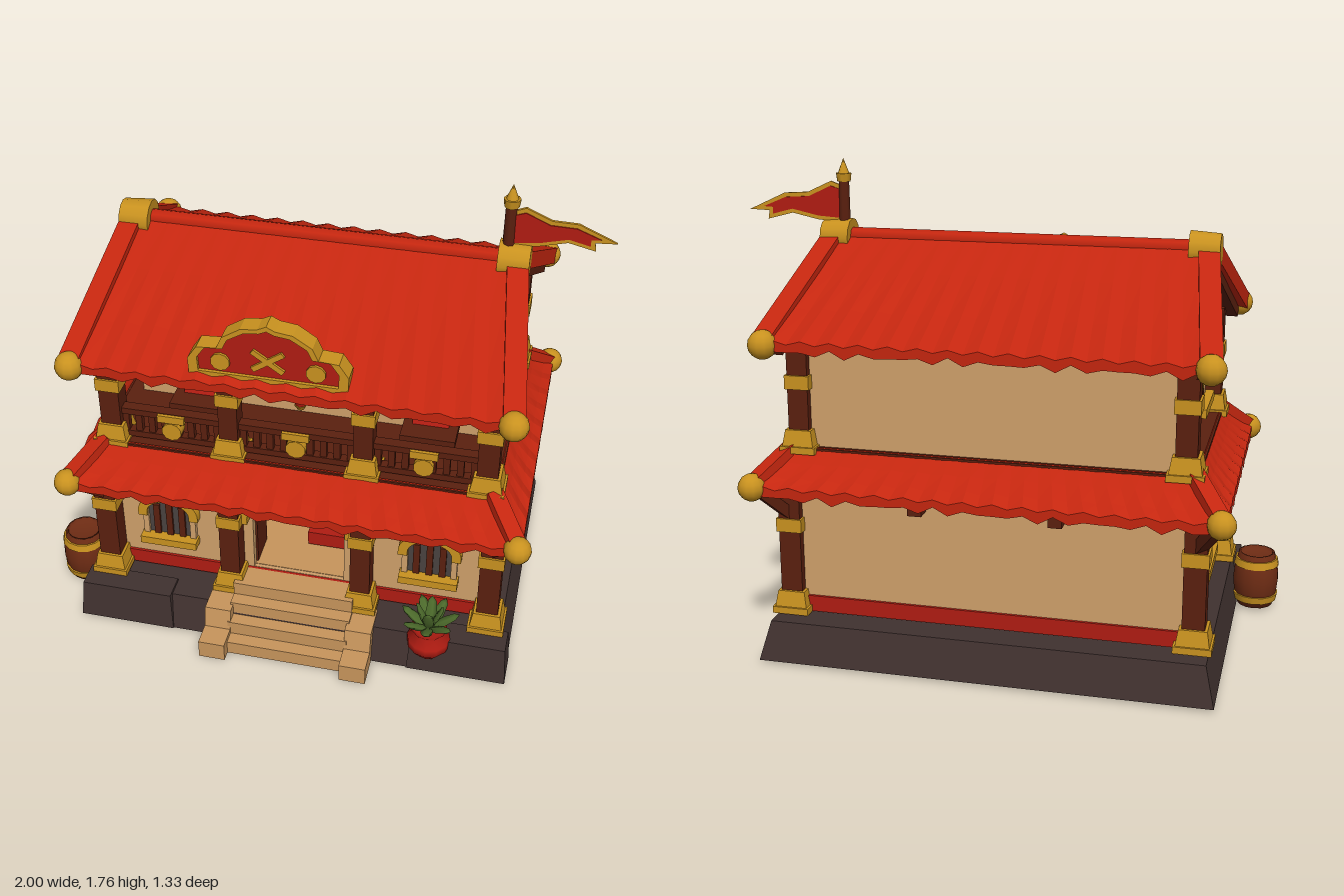
import * as THREE from 'three';

const make = (name, color, side = THREE.FrontSide) => new THREE.MeshStandardMaterial({ name, color, side });

export function createModel() {
  const M = {
    roof: make('roof red', 0xc4260f, THREE.DoubleSide), paint: make('painted red', 0xb01c12),
    wood: make('dark wood', 0x5a200f), wall: make('plaster tan', 0xcfa06a),
    step: make('step stone', 0xc8955c), base: make('foundation stone', 0x40312f),
    gold: make('gold', 0xc9921f), leaf: make('leaf green', 0x4c6a2b),
    glass: make('window grey', 0x4a4340), barrel: make('barrel wood', 0x6e2c14),
  };
  const root = new THREE.Group();
  root.name = 'tavern';
  const house = new THREE.Group();
  house.name = 'building';
  house.position.set(-0.02, 0, -0.04);
  root.add(house);

  // ---- helpers ----
  const add = (name, mat, geo, x = 0, y = 0, z = 0, parent = house) => {
    const m = new THREE.Mesh(geo, mat);
    m.name = name;
    m.position.set(x, y, z);
    parent.add(m);
    return m;
  };
  const box = (name, mat, w, h, d, x, y, z, parent) => add(name, mat, new THREE.BoxGeometry(w, h, d), x, y, z, parent);
  const frustum = (w, d, wt, dt, h) => {
    const g = new THREE.BoxGeometry(w, h, d), p = g.attributes.position;
    for (let i = 0; i < p.count; i++) if (p.getY(i) > 0) p.setXYZ(i, p.getX(i) * wt / w, p.getY(i), p.getZ(i) * dt / d);
    g.computeVertexNormals();
    return g;
  };
  const beam = (name, mat, a, b, w, h) => {
    const A = new THREE.Vector3(...a), B = new THREE.Vector3(...b);
    const m = new THREE.Mesh(new THREE.BoxGeometry(w, h, A.distanceTo(B)), mat);
    m.name = name;
    m.position.copy(A).add(B).multiplyScalar(0.5);
    m.lookAt(B);
    house.add(m);
  };
  const plate = (name, mat, shape, depth, x, y, z, parent) => {
    const g = new THREE.ExtrudeGeometry(shape, { depth, bevelEnabled: false, curveSegments: 10 });
    g.translate(0, 0, -depth / 2);
    return add(name, mat, g, x, y, z, parent);
  };
  const polygon = (pts) => new THREE.Shape(pts.map(([x, y]) => new THREE.Vector2(x, y)));
  const arch = (r, y0, ys, rise, S = THREE.Shape) => {
    const s = new S();
    s.moveTo(-r, y0); s.lineTo(-r, ys);
    s.absellipse(0, ys, r, rise, Math.PI, 0, true);
    s.lineTo(r, y0); s.lineTo(-r, y0);
    return s;
  };
  const archBand = (ri, ro, y0, ys, rise) => {
    const s = new THREE.Shape();
    s.moveTo(-ro, y0); s.lineTo(-ro, ys);
    s.absellipse(0, ys, ro, rise + ro - ri, Math.PI, 0, true);
    s.lineTo(ro, y0); s.lineTo(ri, y0); s.lineTo(ri, ys);
    s.absellipse(0, ys, ri, rise, 0, Math.PI, false);
    s.lineTo(-ri, y0);
    return s;
  };
  // Rippled roof surface with a scalloped, turned-down eave
  const roofSlope = (name, tl, tr, bl, br, cols, sag) => {
    const [a, b, c, d] = [tl, tr, bl, br].map((v) => new THREE.Vector3(...v));
    const pos = [], idx = [], rows = [0, 0.35, 0.7, 1, 1];
    rows.forEach((s, r) => {
      for (let i = 0; i <= cols; i++) {
        const t = i / cols, p = a.clone().lerp(b, t).lerp(c.clone().lerp(d, t), s);
        p.y += (i % 2 ? 0.014 : 0) * s - sag * Math.sin(Math.PI * s) - (r === 4 ? 0.035 + 0.008 * Math.sin(i * 2.3) : 0);
        pos.push(p.x, p.y, p.z);
        const k = r * (cols + 1) + i, n = k + cols + 1;
        if (i < cols && r < 4) idx.push(k, n, k + 1, k + 1, n, n + 1);
      }
    });
    let g = new THREE.BufferGeometry();
    g.setAttribute('position', new THREE.Float32BufferAttribute(pos, 3));
    g.setIndex(idx);
    g = g.toNonIndexed();
    g.computeVertexNormals();
    add(name, M.roof, g);
  };
  const post = (x, z, y0, y1, collarY, w) => {
    box('post', M.wood, w, y1 - y0, w, x, (y0 + y1) / 2, z);
    add('postBase', M.gold, frustum(w + 0.045, w + 0.045, w + 0.02, w + 0.02, 0.075), x, y0 + 0.045, z);
    box('postBaseFoot', M.gold, w + 0.055, 0.025, w + 0.055, x, y0 + 0.012, z);
    box('postCollar', M.gold, w + 0.015, 0.05, w + 0.015, x, collarY, z);
  };
  const archWindow = (x, y, z, turn, r, h, sillW) => {
    const g = new THREE.Group();
    g.name = 'window';
    g.position.set(x, y, z);
    g.rotation.y = turn;
    house.add(g);
    const rise = r * 0.7, ys = h - rise;
    plate('pane', M.glass, arch(r, 0, ys, rise), 0.008, 0, 0, 0.004, g);
    plate('windowArch', M.gold, archBand(r, r + 0.035, ys - 0.02, ys, rise), 0.04, 0, 0, 0.012, g);
    box('sill', M.gold, sillW, 0.032, 0.06, 0, -0.012, 0.02, g);
    for (const s of [-1, 0, 1]) box('windowBar', M.wood, r * 0.3, h - (s ? 0.03 : 0.005), 0.012, s * r * 0.6, h / 2 - (s ? 0.015 : 0), 0.012, g);
    for (const s of [-1, 1]) box('jamb', M.wall, 0.022, ys, 0.02, s * (r + 0.01), ys / 2, 0.01, g);
  };

  // ---- foundation and stairs ----
  add('foundation', M.base, frustum(1.64, 1.18, 1.57, 1.1, 0.14), 0, 0.08, 0);
  for (const s of [-1, 1]) add('foundationSlab', M.base, frustum(0.37, 0.14, 0.35, 0.1, 0.15), s * 0.64, 0.085, 0.525);
  for (let i = 0; i < 4; i++) box('stair', M.step, 0.46, 0.055 * (i + 1), 0.24, 0, 0.0275 * (i + 1), 0.54 - i * 0.05);
  for (const s of [-1, 1]) {
    box('stairCheekLow', M.step, 0.1, 0.075, 0.13, s * 0.27, 0.0375, 0.635);
    add('stairCheek', M.step, frustum(0.1, 0.2, 0.1, 0.13, 0.155), s * 0.27, 0.0775, 0.53);
  }

  // ---- ground floor ----
  box('baseboard', M.paint, 1.43, 0.06, 0.87, 0, 0.19, -0.02);
  box('roomFloor', M.step, 1.34, 0.006, 0.78, 0, 0.221, 0);
  for (const s of [-1, 1]) box('sideWall', M.wall, 0.04, 0.58, 0.82, s * 0.685, 0.46, -0.02);
  box('backWall', M.wall, 1.4, 0.58, 0.04, 0, 0.46, -0.425);
  const front = polygon([[-0.7, 0.17], [0.7, 0.17], [0.7, 0.75], [-0.7, 0.75]]);
  front.holes.push(arch(0.175, 0.222, 0.48, 0.09, THREE.Path));
  plate('frontWall', M.wall, front, 0.04, 0, 0, 0.385);
  plate('doorArch', M.gold, archBand(0.185, 0.22, 0.47, 0.5, 0.085), 0.06, 0, 0, 0.42);
  box('doorLeaf', M.wood, 0.015, 0.28, 0.13, -0.175, 0.36, 0.31);
  plate('wallDrape', M.paint, polygon([[-0.17, 0.41], [0.18, 0.24], [0.18, 0.48], [0.1, 0.55], [-0.17, 0.55]]), 0.008, 0, 0, -0.4);
  box('entryBench', M.paint, 0.16, 0.06, 0.1, 0.08, 0.265, 0.2);
  for (const s of [-1, 1]) {
    archWindow(s * 0.5, 0.33, 0.405, 0, 0.082, 0.175, 0.22);
    archWindow(s * 0.705, 0.33, -0.03, s * Math.PI / 2, 0.115, 0.185, 0.31);
    archWindow(s * 0.672, 0.94, -0.055, s * Math.PI / 2, 0.09, 0.15, 0.275);
  }
  for (const s of [-1, 1]) {
    for (const z of [0.44, -0.435]) post(s * 0.73, z, 0.16, 0.72, 0.495, 0.08);
    post(s * 0.25, 0.44, 0.16, 0.72, 0.49, 0.075);
    box('sidePlate', M.wood, 0.07, 0.05, 0.95, s * 0.73, 0.65, 0);
    box('backCorbel', M.wood, 0.05, 0.08, 0.07, s * 0.25, 0.62, -0.47);
  }
  box('frontPlate', M.wood, 1.5, 0.05, 0.07, 0, 0.65, 0.44);
  box('backPlate', M.wood, 1.5, 0.05, 0.06, 0, 0.67, -0.44);
  box('upperFloor', M.wood, 1.46, 0.06, 0.92, 0, 0.757, 0);

  // ---- skirt roof with hip beams and corner balls ----
  const corners = [[-1, 1], [1, 1], [1, -1], [-1, -1]];
  corners.forEach(([x, z], k) => {
    const [u, v] = corners[(k + 1) % 4];
    roofSlope('skirtRoof', [x * 0.72, 0.79, z * 0.45], [u * 0.72, 0.79, v * 0.45],
      [x * 0.835, 0.665, z * 0.59], [u * 0.835, 0.665, v * 0.59], k % 2 ? 22 : 32, 0.01);
    beam('hipBeam', M.roof, [x * 0.71, 0.79, z * 0.44], [x * 0.82, 0.675, z * 0.575], 0.06, 0.045);
    add('skirtBall', M.gold, new THREE.SphereGeometry(0.05, 12, 8), x * 0.82, 0.668, z * 0.58);
    beam('eaveBracket', M.wood, [x * 0.73, 0.52, z * 0.44], [x * 0.8, 0.64, z * 0.55], 0.04, 0.04);
  });

  // ---- upper storey ----
  box('upperRoom', M.wall, 1.34, 0.4, 0.56, 0, 0.97, -0.15);
  for (const s of [-1, 1]) {
    for (const z of [0.4, -0.42]) post(s * 0.685, z, 0.77, 1.19, 1.025, 0.075);
    post(s * 0.245, 0.4, 0.77, 1.19, 1.025, 0.07);
    box('sideBeam', M.wood, 0.06, 0.05, 0.86, s * 0.68, 1.165, 0);
    beam('balconyBrace', M.wood, [s * 0.68, 1.04, 0.39], [s * 0.68, 1.15, 0.25], 0.035, 0.035);
    beam('balconyBrace', M.wood, [s * 0.68, 1.05, 0.13], [s * 0.68, 1.15, 0.25], 0.035, 0.035);
    beam('sideBrace', M.wood, [s * 0.73, 0.5, 0.42], [s * 0.73, 0.64, 0.27], 0.035, 0.035);
    beam('sideBrace', M.wood, [s * 0.73, 0.5, -0.42], [s * 0.73, 0.64, -0.27], 0.035, 0.035);
    for (const [x, d] of [[0.685, -1], [0.245, 1], [0.245, -1]])
      beam('frontBrace', M.wood, [s * x, 1.07, 0.4], [s * (x + d * 0.11), 1.155, 0.4], 0.035, 0.035);
    for (const [x, d] of [[0.73, -1], [0.25, 1]])
      beam('lowerBrace', M.wood, [s * x, 0.53, 0.44], [s * (x + d * 0.12), 0.635, 0.44], 0.035, 0.035);
  }
  box('frontBeam', M.wood, 1.42, 0.05, 0.06, 0, 1.165, 0.4);

  // Balcony rail, ornaments and seats
  box('topRail', M.wood, 1.34, 0.025, 0.04, 0, 0.905, 0.4);
  box('bottomRail', M.wood, 1.34, 0.025, 0.035, 0, 0.805, 0.4);
  for (let i = -13; i <= 13; i++) box('baluster', M.wood, 0.024, 0.1, 0.024, i * 0.049, 0.855, 0.4);
  for (const x of [-0.46, 0, 0.46]) {
    add('railMedallion', M.gold, new THREE.CylinderGeometry(0.037, 0.037, 0.05, 10).rotateX(Math.PI / 2), x, 0.845, 0.405);
    box('railCap', M.gold, 0.1, 0.03, 0.055, x, 0.9, 0.405);
  }
  for (const x of [-0.41, 0.45]) {
    box('benchSeat', M.wood, 0.2, 0.03, 0.15, x, 0.855, 0.22);
    for (const s of [-1, 1]) box('benchLeg', M.wood, 0.03, 0.07, 0.12, x + s * 0.075, 0.82, 0.22);
    const c = add('cushion', M.paint, frustum(0.13, 0.05, 0.17, 0.04, 0.11), x, 0.91, 0.175);
    c.rotation.x = -0.4;
  }

  // ---- main roof ----
  const gable = polygon([[-0.47, 1.165], [0.47, 1.165], [0, 1.425]]);
  plate('gable', M.wood, gable, 1.36, 0, 0, 0).rotation.y = Math.PI / 2;
  for (const s of [-1, 1]) {
    roofSlope('mainRoof', [-s * 0.69, 1.49, 0], [s * 0.69, 1.49, 0], [-s * 0.78, 1.185, s * 0.565], [s * 0.78, 1.185, s * 0.565], 30, 0.008);
    for (const z of [-1, 1]) {
      beam('vergeBeam', M.roof, [s * 0.69, 1.475, 0], [s * 0.765, 1.18, z * 0.555], 0.075, 0.06);
      beam('gableRafter', M.wood, [s * 0.69, 1.425, 0], [s * 0.74, 1.15, z * 0.51], 0.05, 0.04);
      add('eaveBall', M.gold, new THREE.SphereGeometry(0.052, 12, 8), s * 0.765, 1.18, z * 0.555);
    }
    add('ridgeCap', M.gold, new THREE.CylinderGeometry(0.06, 0.068, 0.11, 12).rotateZ(-s * Math.PI / 2), s * 0.68, 1.472, 0);
  }
  add('ridge', M.roof, new THREE.CylinderGeometry(0.03, 0.03, 1.3, 8).rotateZ(Math.PI / 2), 0, 1.477, 0);

  // ---- sign ----
  const half = [[0.275, -0.115], [0.278, -0.05], [0.245, 0], [0.175, 0.005], [0.155, 0.05], [0.09, 0.092], [0.03, 0.1], [0, 0.115]];
  const outline = (k) => [...half, ...half.slice(0, -1).reverse().map(([x, y]) => [-x, y])].map(([x, y]) => [x * k, y * (k * 1.4 - 0.4)]);
  const frame = polygon(outline(1));
  frame.holes.push(new THREE.Path(outline(0.88).map(([x, y]) => new THREE.Vector2(x, y))));
  plate('signFrame', M.gold, frame, 0.07, -0.065, 1.315, 0.5);
  plate('signPanel', M.paint, polygon(outline(0.9)), 0.045, -0.065, 1.315, 0.5);
  for (const s of [-1, 1]) {
    box('signCrossBar', M.gold, 0.13, 0.02, 0.012, -0.065, 1.285, 0.526).rotation.z = s * 0.6;
    add('signDisc', M.gold, new THREE.CylinderGeometry(0.034, 0.034, 0.012, 10).rotateX(Math.PI / 2), -0.065 + s * 0.165, 1.262, 0.526);
  }

  // ---- hanging lantern ----
  add('lanternRod', M.wood, new THREE.CylinderGeometry(0.005, 0.005, 0.08, 6), 0.01, 1.13, 0.38);
  add('lanternTop', M.gold, new THREE.ConeGeometry(0.038, 0.035, 6), 0.01, 1.09, 0.38);
  add('lanternBody', M.paint, new THREE.CylinderGeometry(0.028, 0.02, 0.06, 6), 0.01, 1.045, 0.38);
  add('lanternFoot', M.gold, new THREE.CylinderGeometry(0.024, 0.012, 0.02, 6), 0.01, 1.005, 0.38);

  // ---- flag ----
  add('flagPole', M.wood, new THREE.CylinderGeometry(0.02, 0.022, 0.2, 8), 0.655, 1.59, 0);
  add('poleCollar', M.gold, new THREE.CylinderGeometry(0.03, 0.026, 0.03, 8), 0.655, 1.69, 0);
  add('poleTip', M.gold, new THREE.ConeGeometry(0.024, 0.06, 8), 0.655, 1.73, 0);
  const flag = new THREE.Group();
  flag.name = 'flag';
  flag.position.set(0.665, 1.5, 0);
  flag.rotation.y = 0.06;
  house.add(flag);
  plate('flagBorder', M.gold, polygon([[0, 0.025], [0.09, 0.032], [0.19, 0.055], [0.285, 0.03], [0.28, 0.062], [0.355, 0.065],
    [0.22, 0.128], [0.13, 0.133], [0.04, 0.175], [0, 0.16]]), 0.01, 0, 0, 0, flag);
  plate('flagCloth', M.paint, polygon([[0, 0.04], [0.09, 0.047], [0.19, 0.07], [0.265, 0.05], [0.265, 0.075], [0.3, 0.077],
    [0.215, 0.113], [0.125, 0.118], [0.04, 0.158], [0, 0.145]]), 0.018, 0, 0, 0, flag);

  // ---- barrel ----
  const stave = [[0, 0], [0.068, 0], [0.084, 0.06], [0.089, 0.11], [0.084, 0.16], [0.07, 0.215], [0.062, 0.215], [0.062, 0.2], [0, 0.2]];
  add('barrel', M.barrel, new THREE.LatheGeometry(stave.map(([x, y]) => new THREE.Vector2(x, y)), 14), -0.89, 0.01, 0.35);
  for (const [y, r] of [[0.045, 0.084], [0.19, 0.084]])
    add('barrelHoop', M.gold, new THREE.CylinderGeometry(r + (y > 0.1 ? -0.002 : 0.004), r + (y > 0.1 ? 0.004 : -0.002), 0.028, 14), -0.89, y, 0.35);

  // ---- potted plant ----
  const pot = [[0, 0], [0.045, 0], [0.08, 0.045], [0.08, 0.075], [0.055, 0.105], [0.068, 0.125], [0.055, 0.125], [0, 0.11]];
  add('pot', M.paint, new THREE.LatheGeometry(pot.map(([x, y]) => new THREE.Vector2(x, y)), 12), 0.53, 0.085, 0.56);
  for (let i = 0; i < 11; i++) {
    const g = new THREE.SphereGeometry(1, 5, 4).scale(0.024, 0.065, 0.01).translate(0, 0.065, 0);
    g.rotateX(i < 7 ? 1.0 : 0.4).rotateY(i * (i < 7 ? 0.898 : 1.571));
    add('leaf', M.leaf, g, 0.53, 0.2, 0.56);
  }
  return root;
}
